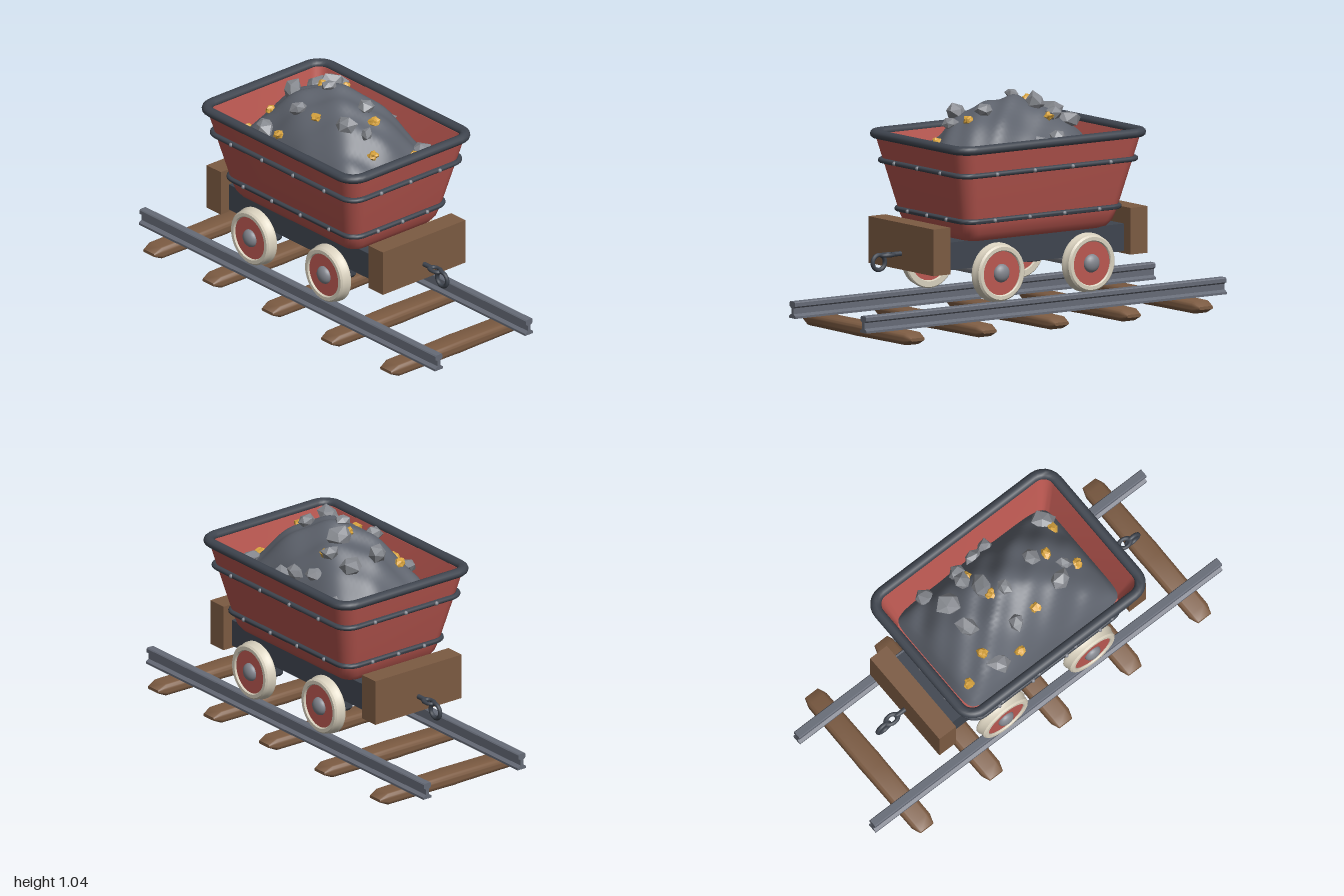
import * as THREE from 'three';
import { toCreasedNormals } from 'three/addons/utils/BufferGeometryUtils.js';

const mat = (name, color) => Object.assign(new THREE.MeshStandardMaterial({ color }), { name });

// Lofts rounded-rectangle rings [y, halfX, halfZ, cornerRadius] along y
function loft(rings, crease = 0.7) {
  const steps = 6, n = 4 * (steps + 1), pos = [], idx = [];
  for (const [y, hx, hz, rad] of rings) {
    const r = Math.min(rad, hx, hz);
    for (let q = 0; q < 4; q++) {
      const sx = q === 0 || q === 3 ? 1 : -1, sz = q < 2 ? -1 : 1;
      for (let s = 0; s <= steps; s++) {
        const a = (q + s / steps) * Math.PI / 2;
        pos.push(sx * (hx - r) + r * Math.cos(a), y, sz * (hz - r) - r * Math.sin(a));
      }
    }
  }
  for (let i = 0; i < rings.length - 1; i++) for (let j = 0; j < n; j++) {
    const a = i * n + j, b = i * n + (j + 1) % n;
    idx.push(a, b, b + n, a, b + n, a + n);
  }
  const g = new THREE.BufferGeometry();
  g.setAttribute('position', new THREE.Float32BufferAttribute(pos, 3));
  g.setIndex(idx);
  return toCreasedNormals(g, crease);
}

// Closed hoop with an elliptical section following a rounded rectangle
function hoop(y, hx, hz, corner, rw, rh) {
  const rings = [];
  for (let k = 0; k <= 12; k++) {
    const a = k / 12 * Math.PI * 2, c = rw * Math.cos(a);
    rings.push([y + rh * Math.sin(a), hx + c, hz + c, corner + c]);
  }
  return loft(rings, 1.2);
}

// Height of the ore heap
function heapY(x, z) {
  const u = Math.min(1, Math.abs(x) / 0.29), v = Math.min(1, Math.abs(z) / 0.437);
  const f = Math.pow((1 - u * u) * (1 - v * v), 0.72);
  const bumps = Math.sin(x * 23 + 1) * Math.cos(z * 19) + 0.6 * Math.sin(x * 37 - z * 31);
  return 0.66 + 0.35 * f + 0.014 * bumps * Math.min(1, f * 3);
}

// Faceted lump, its corners pushed about by a seeded rule
function lump(r, seed, detail) {
  const g = new THREE.IcosahedronGeometry(r, detail), p = g.attributes.position, v = new THREE.Vector3();
  for (let i = 0; i < p.count; i++) {
    v.fromBufferAttribute(p, i);
    const d = v.clone().divideScalar(r);
    const k = 1 + 0.2 * Math.sin(d.x * 5.1 + d.y * 7.3 + d.z * 3.7 + seed * 2.4);
    p.setXYZ(i, v.x * k * 1.1, v.y * k * 0.8, v.z * k);
  }
  g.computeVertexNormals();
  return g.rotateY(seed * 1.7).rotateX(Math.sin(seed) * 0.4);
}

export function createModel() {
  const model = new THREE.Group();
  const red = mat('red paint', 0xbb5851), iron = mat('dark iron', 0x3f454f), steel = mat('rail steel', 0x666b77);
  const wood = mat('wood', 0x7c5b42), cream = mat('cream tyre', 0xd9d1be), ore = mat('ore heap', 0x5f646e);
  const stone = mat('stone', 0x878a90), gold = mat('gold', 0xd9a43e), bolt = mat('bolt metal', 0x83868e);
  const add = (name, geo, m, x = 0, y = 0, z = 0, parent = model) => {
    const mesh = new THREE.Mesh(geo, m);
    mesh.name = name;
    mesh.position.set(x, y, z);
    parent.add(mesh);
    return mesh;
  };
  const box = (w, h, d) => new THREE.BoxGeometry(w, h, d);

  // Track: sleepers with tapered ends
  const sleeper = loft([[-0.413, 0, 0, 0], [-0.413, 0.007, 0.038, 0.007], [-0.37, 0.028, 0.052, 0.022],
    [-0.05, 0.03, 0.054, 0.022], [0, 0.031, 0.055, 0.022], [0.05, 0.03, 0.054, 0.022],
    [0.37, 0.028, 0.052, 0.022], [0.413, 0.007, 0.038, 0.007], [0.413, 0, 0, 0]]).rotateZ(-Math.PI / 2);
  for (let i = -2; i <= 2; i++) add('sleeper', sleeper, wood, 0, 0.036, i * 0.4);

  // Track: I-section rails
  const half = [[0.024, 0.066], [0.024, 0.076], [0.008, 0.086], [0.008, 0.112], [0.02, 0.12], [0.02, 0.137], [0.016, 0.142]];
  const section = new THREE.Shape([...half, ...half.map(([x, y]) => [-x, y]).reverse()].map(p => new THREE.Vector2(...p)));
  const rail = new THREE.ExtrudeGeometry(section, { depth: 2, bevelEnabled: false });
  for (const s of [-1, 1]) add('rail', rail, steel, s * 0.271, 0, -1);

  // Chassis, axles and axle boxes
  add('chassis', box(0.4, 0.125, 1.0), iron, 0, 0.358, 0);
  const axle = new THREE.CylinderGeometry(0.027, 0.027, 0.56, 20).rotateZ(Math.PI / 2);
  const bearing = loft([[0.228, 0, 0, 0], [0.228, 0.022, 0.032, 0.004], [0.24, 0.03, 0.04, 0.006], [0.3, 0.03, 0.04, 0.006]], 0.3);

  // Wheels: tyre with flange, painted disc and hub
  const tyre = toCreasedNormals(new THREE.LatheGeometry([[0.1, 0.255], [0.104, 0.247], [0.13, 0.247], [0.135, 0.252], [0.135, 0.262],
    [0.13, 0.27], [0.128, 0.294], [0.12, 0.302], [0.104, 0.302], [0.1, 0.297], [0.1, 0.255]]
    .map(p => new THREE.Vector2(...p)), 40), 0.6).rotateZ(-Math.PI / 2);
  const disc = new THREE.CylinderGeometry(0.101, 0.101, 0.038, 40).rotateZ(Math.PI / 2);
  const hub = new THREE.SphereGeometry(0.042, 20, 14).scale(0.65, 1, 1);
  for (const z of [-0.25, 0.25]) {
    add('axle', axle, bolt, 0, 0.272, z);
    for (const s of [-1, 1]) {
      add('axleBox', bearing, iron, s * 0.164, 0, z);
      const wheel = new THREE.Group();
      wheel.name = 'wheel';
      wheel.position.set(0, 0.274, z);
      if (s < 0) wheel.rotation.y = Math.PI;
      model.add(wheel);
      add('tyre', tyre, cream, 0, 0, 0, wheel);
      add('wheelDisc', disc, red, 0.274, 0, 0, wheel);
      add('hub', hub, bolt, 0.293, 0, 0, wheel);
    }
  }

  // End beams with coupling links
  for (const s of [-1, 1]) {
    const end = new THREE.Group();
    end.name = s > 0 ? 'frontEnd' : 'backEnd';
    if (s < 0) end.rotation.y = Math.PI;
    model.add(end);
    add('endBeam', box(0.496, 0.212, 0.096), wood, 0, 0.391, 0.547, end);
    add('couplingShank', new THREE.CylinderGeometry(0.011, 0.011, 0.06, 12).rotateX(Math.PI / 2), iron, 0, 0.358, 0.615, end);
    add('couplingEye', new THREE.TorusGeometry(0.02, 0.009, 10, 24).scale(1, 1.5, 1).rotateX(Math.PI / 2), iron, 0, 0.358, 0.67, end);
    add('couplingRing', new THREE.TorusGeometry(0.034, 0.01, 10, 28).rotateY(Math.PI / 2), iron, 0, 0.328, 0.717, end);
  }

  // Tub: outer wall, lip and inner wall
  add('tub', loft([[0.418, 0, 0, 0], [0.418, 0.22, 0.37, 0.05], [0.428, 0.245, 0.395, 0.055], [0.455, 0.266, 0.415, 0.06],
    [0.5, 0.28, 0.43, 0.062], [0.85, 0.36, 0.513, 0.075], [0.85, 0.336, 0.489, 0.055], [0.6, 0.28, 0.43, 0.04],
    [0.6, 0, 0, 0]]), red);
  add('rim', hoop(0.855, 0.361, 0.511, 0.075, 0.025, 0.021), iron);

  // Bands with rivets
  const rivet = new THREE.SphereGeometry(0.01, 12, 8);
  for (const [y, hx, hz, dx, dz] of [[0.735, 0.34, 0.492, 0.176, 0.21], [0.517, 0.288, 0.438, 0.148, 0.193]]) {
    add('band', hoop(y, hx, hz, 0.068, 0.014, 0.012), iron);
    for (const s of [-1, 1]) {
      for (let i = -1; i <= 1; i++) add('rivet', rivet, bolt, i * dx, y, s * (hz + 0.011));
      for (let i = -1.5; i <= 1.5; i++) add('rivet', rivet, bolt, s * (hx + 0.011), y, i * dz);
    }
  }

  // Ore heap
  const heap = new THREE.PlaneGeometry(0.58, 0.874, 36, 48).rotateX(-Math.PI / 2), hp = heap.attributes.position;
  for (let i = 0; i < hp.count; i++) {
    const x = hp.getX(i), z = hp.getZ(i), pull = 0.022 * Math.pow(Math.abs(x * z) / 0.1267, 8);
    hp.setXYZ(i, x - Math.sign(x) * pull, heapY(x, z), z - Math.sign(z) * pull);
  }
  heap.computeVertexNormals();
  add('oreHeap', heap, ore);

  // Stones: x, z, radius
  [[-0.22, -0.23, 0.05], [-0.03, -0.26, 0.05], [0.11, -0.25, 0.055], [0.245, -0.285, 0.045], [-0.155, -0.075, 0.038],
    [-0.015, -0.03, 0.033], [0.065, -0.1, 0.055], [0.145, -0.14, 0.042], [0.215, -0.115, 0.04], [0.24, -0.01, 0.04],
    [0.25, 0.065, 0.036], [-0.12, 0.2, 0.048], [0.04, 0.16, 0.04], [0.2, 0.365, 0.052], [-0.06, 0.275, 0.033]]
    .forEach(([x, z, r], i) => add('stone', lump(r, i + 1, 0), stone, x, heapY(x, z) + r * 0.3, z));

  // Gold nuggets: x, z
  [[-0.195, -0.38], [-0.15, -0.27], [-0.235, -0.12], [-0.15, 0.035], [0.01, -0.095], [0.155, -0.115], [0.02, 0.235],
    [-0.075, 0.335], [0.14, 0.37]]
    .forEach(([x, z], i) => add('nugget', lump(0.024, i + 3, 1), gold, x, heapY(x, z) + 0.008, z));

  return model;
}
